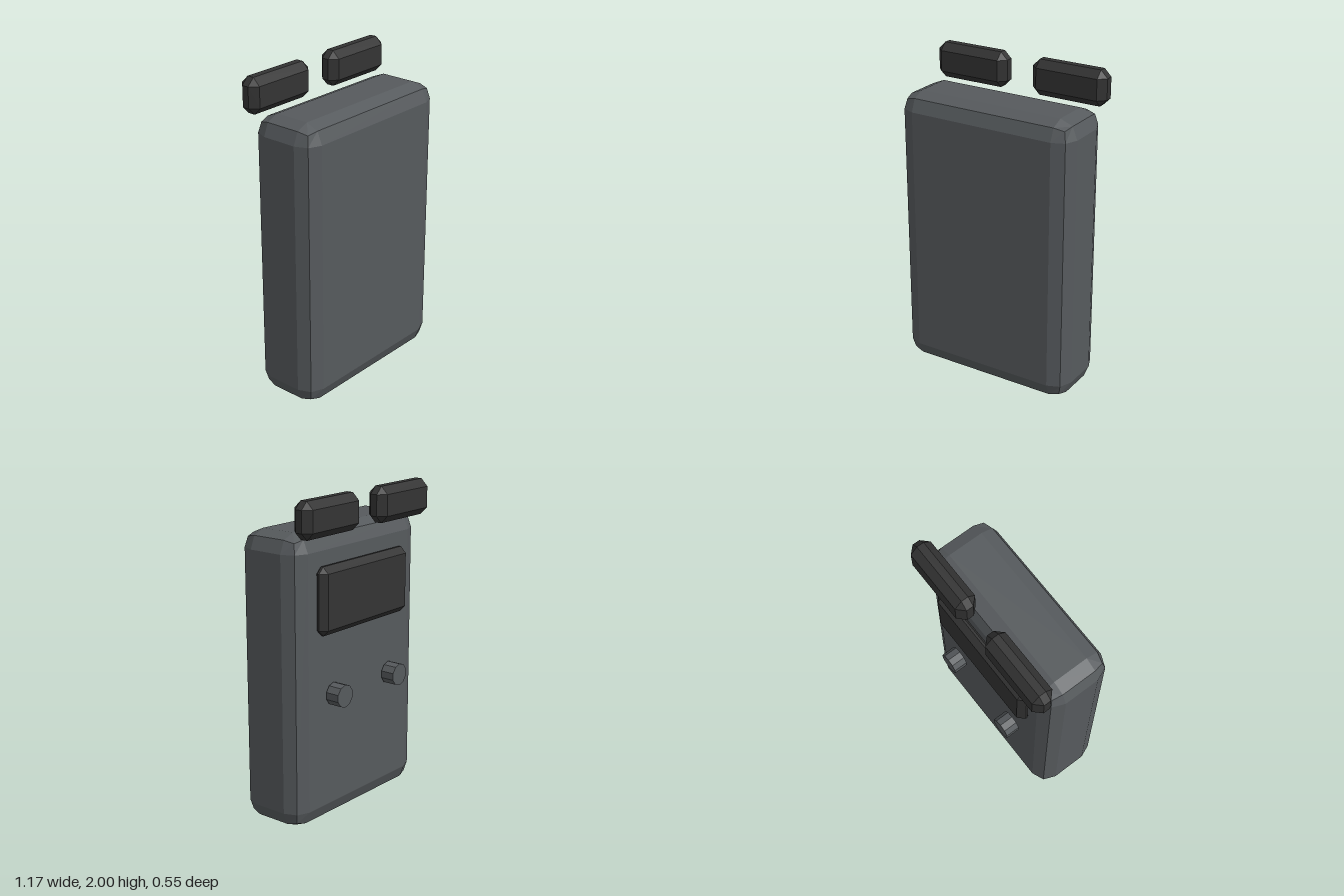
import * as THREE from 'three';
import { RoundedBoxGeometry } from 'three/addons/geometries/RoundedBoxGeometry.js';
import { ConvexGeometry } from 'three/addons/geometries/ConvexGeometry.js';

// Give every triangle its own flat normal
function faceted(geometry) {
  const flat = geometry.index ? geometry.toNonIndexed() : geometry;
  flat.deleteAttribute('normal');
  flat.computeVertexNormals();
  return flat;
}

// Box with every edge cut by one 45 degree chamfer
function chamferBox(w, h, d, c) {
  const points = [];
  for (const sx of [-1, 1]) for (const sy of [-1, 1]) for (const sz of [-1, 1]) {
    const x = w / 2, y = h / 2, z = d / 2;
    points.push(
      new THREE.Vector3(sx * x, sy * (y - c), sz * (z - c)),
      new THREE.Vector3(sx * (x - c), sy * y, sz * (z - c)),
      new THREE.Vector3(sx * (x - c), sy * (y - c), sz * z)
    );
  }
  return faceted(new ConvexGeometry(points));
}

export function createModel() {
  const group = new THREE.Group();
  const grey = new THREE.MeshStandardMaterial({ color: 0x565a5d });
  grey.name = 'slate grey';
  const black = new THREE.MeshStandardMaterial({ color: 0x333333 });
  black.name = 'soft black';

  const add = (name, geometry, material, x, y, z) => {
    const mesh = new THREE.Mesh(geometry, material);
    mesh.name = name;
    mesh.position.set(x, y, z);
    group.add(mesh);
  };

  // Main case with two-step rounded edges
  add('body', faceted(new RoundedBoxGeometry(1.17, 1.795, 0.445, 1, 0.11)), grey, 0, 0.9, 0.052);

  // Raised panel on the back
  add('backPanel', chamferBox(0.82, 0.41, 0.09, 0.038), black, 0, 1.395, -0.188);

  // Paired top blocks and back knobs
  const block = chamferBox(0.495, 0.22, 0.135, 0.045);
  const knob = faceted(new THREE.CylinderGeometry(0.07, 0.07, 0.09, 10).rotateX(Math.PI / 2));
  for (const [side, s] of [['left', 1], ['right', -1]]) {
    add(side + 'TopBlock', block, black, s * 0.3375, 1.89, -0.198);
    add(side + 'Knob', knob, grey, s * 0.268, 0.815, -0.23);
  }
  return group;
}
